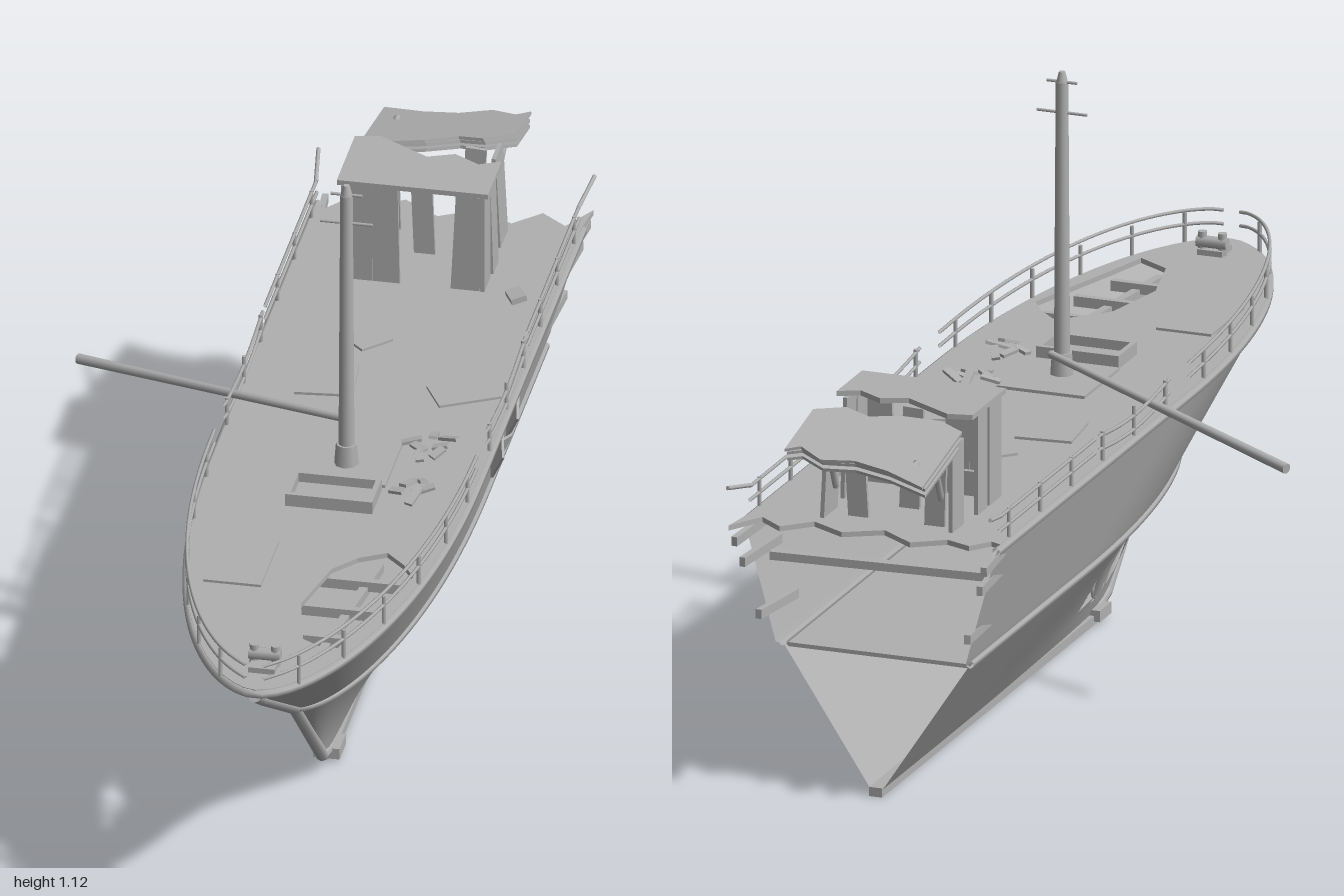
import * as THREE from 'three';

const grey = new THREE.MeshStandardMaterial({ color: 0xb0b0b0, side: THREE.DoubleSide });
grey.name = 'weatheredGrey';

// Piecewise linear lookup in a list of [key, value]
function lerpTable(table, k) {
  if (k <= table[0][0]) return table[0][1];
  for (let i = 1; i < table.length; i++) {
    const [a, va] = table[i - 1], [b, vb] = table[i];
    if (k <= b) return va + (vb - va) * (k - a) / (b - a);
  }
  return table[table.length - 1][1];
}
const stemZ = y => lerpTable([[0.01, 0.25], [0.035, 0.34], [0.28, 0.6], [0.47, 0.91], [0.52, 0.985]], y);
const fullWidth = y => lerpTable([[0.01, 0.01], [0.28, 0.187], [0.52, 0.252]], y);
function halfWidth(y, z) {
  const t = Math.min(1, Math.max(0, (stemZ(y) - z) / 0.885));
  return fullWidth(y) * Math.pow(1 - Math.pow(1 - t, 2.2), 0.58);
}
function inside(poly, x, y) {
  let hit = false;
  for (let i = 0, j = poly.length - 1; i < poly.length; j = i++) {
    const [xi, yi] = poly[i], [xj, yj] = poly[j];
    if ((yi > y) !== (yj > y) && x < (xj - xi) * (y - yi) / (yj - yi) + xi) hit = !hit;
  }
  return hit;
}
// Breaches: bow ones in (x, y), the side one in (z, y)
const bowHoles = [
  [[-0.15, 0.45], [-0.12, 0.455], [-0.05, 0.45], [-0.04, 0.4], [-0.07, 0.34], [-0.16, 0.33], [-0.14, 0.39]],
  [[-0.13, 0.23], [-0.07, 0.22], [-0.02, 0.12], [-0.02, 0.06], [-0.05, 0.08], [-0.1, 0.16]]];
const sideHole = [[-0.09, 0.49], [-0.24, 0.49], [-0.2, 0.44], [-0.15, 0.42], [-0.12, 0.45]];

// One plated side of the hull, s = +1 or -1
function hullSide(s) {
  const rows = 44, cols = 110, pos = [], idx = [];
  for (let r = 0; r <= rows; r++) {
    const y = 0.012 + 0.508 * r / rows, z0 = stemZ(y), z1 = y > 0.28 ? -0.87 : -0.84;
    for (let c = 0; c <= cols; c++) {
      const z = z0 + (z1 - z0) * Math.pow(c / cols, 1.5);
      pos.push(s * halfWidth(y, z), y, z);
    }
  }
  for (let r = 0; r < rows; r++) for (let c = 0; c < cols; c++) {
    const a = r * (cols + 1) + c, b = a + 1, d = a + cols + 1, e = d + 1;
    const m = k => (pos[a * 3 + k] + pos[e * 3 + k]) / 2;
    if (s < 0 ? m(2) > 0.1 && bowHoles.some(h => inside(h, m(0), m(1))) : inside(sideHole, m(2), m(1))) continue;
    if (s > 0) idx.push(a, b, e, a, e, d); else idx.push(a, e, b, a, d, e);
  }
  const g = new THREE.BufferGeometry();
  g.setAttribute('position', new THREE.Float32BufferAttribute(pos, 3));
  g.setIndex(idx);
  g.computeVertexNormals();
  return g;
}

export function createModel() {
  const model = new THREE.Group();
  const ship = new THREE.Group();
  ship.name = 'wreck';
  ship.position.x = 0.15; // the fallen boom shifts the hull off centre
  model.add(ship);

  function add(name, geo, p = [0, 0, 0], rot = [0, 0, 0]) {
    const m = new THREE.Mesh(geo, grey);
    m.name = name;
    m.position.set(...p);
    m.rotation.set(...rot);
    ship.add(m);
    return m;
  }
  const box = (name, size, p, rot) => add(name, new THREE.BoxGeometry(...size), p, rot);
  function rod(name, a, b, r0, r1 = r0, sides = 8) {
    const A = new THREE.Vector3(...a), d = new THREE.Vector3(...b).sub(A);
    const m = add(name, new THREE.CylinderGeometry(r1, r0, d.length(), sides));
    m.position.copy(A).addScaledVector(d, 0.5);
    m.quaternion.setFromUnitVectors(new THREE.Vector3(0, 1, 0), d.normalize());
  }
  // Flat slab from an outline in (x, z); its top is at y
  function slab(name, pts, y, thick, holes = [], rot) {
    const shape = new THREE.Shape(pts.map(p => new THREE.Vector2(...p)));
    holes.forEach(h => shape.holes.push(new THREE.Path(h.map(p => new THREE.Vector2(...p)))));
    const g = new THREE.ExtrudeGeometry(shape, { depth: thick, bevelEnabled: false }).rotateX(Math.PI / 2);
    return add(name, g, [0, y, 0], rot);
  }
  function tube(name, pts, r) {
    const curve = new THREE.CatmullRomCurve3(pts.map(p => new THREE.Vector3(...p)));
    add(name, new THREE.TubeGeometry(curve, pts.length * 3, r, 6), [0, 0, 0]);
  }
  // Points round the hull at height y, stern to bow to stern
  function outline(y, stern, n = 24) {
    const pts = [], z0 = stemZ(y);
    for (let i = -n; i <= n; i++) {
      const z = z0 + (stern - z0) * Math.pow(Math.abs(i) / n, 1.8);
      pts.push([Math.sign(i) * halfWidth(y, z), z]);
    }
    return pts;
  }

  // Hull plating, keel and rubbing strakes
  add('hullRight', hullSide(-1));
  add('hullLeft', hullSide(1));
  box('keel', [0.026, 0.018, 1.1], [0, 0.009, -0.295]);
  const stem = [[0.25, 0.012], [0.34, 0.036], [0.6, 0.28], [0.91, 0.47], [0.975, 0.512]];
  for (let i = 1; i < stem.length; i++)
    rod('stemBar', [0, stem[i - 1][1], stem[i - 1][0]], [0, stem[i][1], stem[i][0]], 0.012);
  box('keelShoe', [0.05, 0.022, 0.06], [0, 0.018, 0.27]);
  tube('upperStrake', outline(0.515, -0.87).map(([x, z]) => [x, 0.517, z]), 0.009);
  tube('lowerStrake', outline(0.28, -0.84).map(([x, z]) => [x, 0.28, z]), 0.008);

  // Main deck with its hole and torn stern edge, and the deck below
  const tear = [[0.26, -0.93], [0.22, -0.86], [0.17, -0.9], [0.12, -0.85], [0.05, -0.89],
    [-0.02, -0.85], [-0.09, -0.9], [-0.15, -0.86], [-0.2, -0.88], [-0.23, -0.84]];
  const deckHole = [[0.05, 0.5], [0.09, 0.45], [0.14, 0.42], [0.18, 0.46], [0.205, 0.5],
    [0.17, 0.62], [0.14, 0.72], [0.115, 0.81], [0.05, 0.77], [0.02, 0.64]];
  slab('mainDeck', [...outline(0.515, -0.85), ...tear], 0.527, 0.01, [deckHole]);
  slab('lowerDeck', outline(0.275, -0.83), 0.277, 0.008);
  for (const z of [0.5, 0.61, 0.72])
    box('deckBeam', [halfWidth(0.48, z) * 1.85, 0.02, 0.014], [0, 0.5, z]);
  box('deckGirder', [0.016, 0.018, 0.4], [0.1, 0.49, 0.61], [0, -0.12, 0]);

  // Hull frames seen through the breaches
  for (const s of [-1, 1]) for (const z of [0.28, 0.4, 0.52, 0.64]) {
    const pts = [];
    for (let y = 0.04; y < 0.52; y += 0.06)
      if (stemZ(y) > z + 0.03) pts.push([s * (halfWidth(y, z) - 0.012), y, z]);
    if (pts.length > 1) tube('hullFrame', pts, 0.007);
  }

  // Bent plates round the side breach
  [[-0.1, 0.46, 0.07, 0.5], [-0.17, 0.43, 0.06, -0.3], [-0.24, 0.465, 0.06, 0.4]].forEach(([z, y, h, a]) =>
    box('bentPlate', [0.005, h, 0.055], [halfWidth(y, z) + 0.008, y, z], [a, a * 0.4, -0.4]));

  // Guard rails with broken stretches
  const railPoint = (s, z, y) => [s * (halfWidth(0.52, z) - 0.003), y, z];
  for (const s of [-1, 1]) {
    for (const [from, to, lift] of [[0.98, 0.12, 0.012], [0.02, -0.34, -0.015], [-0.36, -0.85, 0]]) {
      for (const y of [0.553, 0.58]) {
        const pts = [];
        for (let i = 0; i <= 14; i++) {
          const u = i / 14;
          pts.push(railPoint(s, from + (to - from) * Math.pow(u, from > 0.9 ? 1.8 : 1), y + lift * Math.sin(Math.PI * u)));
        }
        tube('guardRail', pts, 0.0035);
      }
    }
    for (const z of [0.93, 0.82, 0.68, 0.52, 0.36, 0.2, 0, -0.16, -0.32, -0.48, -0.64, -0.8])
      rod('railPost', railPoint(s, z, 0.52), railPoint(s, z, 0.584), 0.004, 0.004, 6);
    // Splintered planks at the stern
    [[0.5, -0.93], [0.455, -0.92], [0.35, -0.91]].forEach(([y, z], i) =>
      box('brokenPlank', [0.012, 0.018, 0.16], [s * (fullWidth(y) - 0.004), y, z + 0.08], [0.04 * (i - 1), s * -0.08, 0]));
    rod('bentRailEnd', railPoint(s, -0.84, 0.58), [s * 0.262, 0.6, -0.93], 0.004);
  }
  box('sternBeam', [0.42, 0.016, 0.02], [0, 0.45, -0.83], [0, 0.06, 0]);

  // Mast, crossbars and the fallen boom
  rod('mast', [0, 0.52, 0.11], [0, 1.105, 0.11], 0.0155, 0.012, 12);
  rod('mastCap', [0, 1.105, 0.11], [0, 1.125, 0.11], 0.011, 0.006, 12);
  rod('mastCollar', [0, 0.525, 0.11], [0, 0.575, 0.11], 0.024, 0.02, 8);
  rod('crossbar', [-0.05, 1.045, 0.11], [0.05, 1.045, 0.11], 0.003);
  rod('topCrossbar', [-0.03, 1.105, 0.11], [0.03, 1.105, 0.11], 0.003);
  rod('boom', [0, 0.59, 0.05], [-0.573, 0.515, -0.21], 0.007, 0.01, 10);

  // Hatch coaming, deck plates and windlass
  for (const s of [-1, 1]) {
    box('hatchSide', [0.01, 0.028, 0.09], [s * 0.078, 0.538, 0.235]);
    box('hatchEnd', [0.165, 0.028, 0.01], [0, 0.538, 0.235 + s * 0.042]);
    rod('windlassBollard', [s * 0.02, 0.525, 0.88], [s * 0.02, 0.57, 0.88], 0.009);
  }
  box('hatchCover', [0.145, 0.006, 0.075], [0, 0.53, 0.235]);
  box('mastPlate', [0.175, 0.006, 0.18], [0, 0.53, 0.09]);
  rod('windlassDrum', [-0.03, 0.55, 0.88], [0.03, 0.55, 0.88], 0.012);
  box('windlassBase', [0.05, 0.012, 0.05], [0, 0.532, 0.89]);
  [[-0.12, 0.51, 0.11, 0.17, 0], [-0.1, -0.2, 0.11, 0.12, 0.1], [0.16, -0.2, 0.12, 0.08, 0.5], [-0.05, -0.36, 0.07, 0.05, 0.8]]
    .forEach(([x, z, w, d, a]) => box('loosePlate', [w, 0.005, d], [x, 0.53, z], [0, a, 0]));

  // Scattered debris on deck
  for (let i = 0; i < 12; i++) {
    const a = i * 2.4;
    const z = i < 7 ? 0.02 : 0.19, r = 0.02 + 0.004 * (i % 7);
    box('debris', [0.03 + 0.008 * (i % 3), 0.006, 0.016], [0.14 + Math.cos(a) * r, 0.536 + 0.003 * (i % 3), z + Math.sin(a) * r],
      [0.3 * Math.sin(a), a, 0.25 * Math.cos(a)]);
  }
  box('debris', [0.03, 0.012, 0.04], [0.185, 0.535, -0.57], [0, 0.5, 0.2]);

  // Ruined deckhouse: wall remnants [x, z, width, depth, height, lean]
  [[-0.118, -0.59, 0.055, 0.008, 0.2, 0], [-0.066, -0.59, 0.05, 0.008, 0.2, 0.02], [0.09, -0.59, 0.055, 0.008, 0.2, -0.05],
    [-0.146, -0.615, 0.008, 0.06, 0.2, 0], [0.118, -0.615, 0.008, 0.06, 0.2, 0], [-0.146, -0.68, 0.008, 0.05, 0.2, 0],
    [0.118, -0.68, 0.008, 0.05, 0.2, 0.03], [-0.02, -0.71, 0.04, 0.008, 0.2, 0.04],
    [-0.1, -0.79, 0.04, 0.008, 0.18, 0.03], [0.06, -0.79, 0.04, 0.008, 0.19, -0.06], [0.11, -0.79, 0.008, 0.07, 0.19, 0.05],
    [-0.14, -0.79, 0.008, 0.06, 0.17, 0]]
    .forEach(([x, z, w, d, h, lean]) => box('wallRemnant', [w, h, d], [x, 0.525 + h / 2, z], [0, 0, lean]));
  box('houseSill', [0.08, 0.05, 0.01], [-0.09, 0.55, -0.6]);
  slab('frontRoof', [[-0.157, -0.58], [0.13, -0.58], [0.13, -0.71], [0.09, -0.69], [0.04, -0.72], [-0.01, -0.7],
    [-0.06, -0.73], [-0.11, -0.76], [-0.157, -0.75]], 0.738, 0.01);
  // Sagging rear roof with ragged layers beneath
  for (let k = 0; k < 3; k++) {
    const m = slab(k ? 'roofLayer' : 'rearRoof', [[-0.15, 0.1], [-0.1, 0.12], [-0.03, 0.11], [0.03, 0.085], [0.08, 0.1], [0.135, 0.07],
      [0.135, -0.08], [0.11, -0.06], [0.06, -0.09], [0, -0.07], [-0.07, -0.08], [-0.15, -0.11]], 0, 0.006, [], [-0.22, 0, 0.1]);
    m.position.set(0, 0.708 - 0.012 * k, -0.885);
    m.scale.set(1, 1, k ? 0.85 : 1);
  }
  for (const x of [-0.11, 0.1])
    tube('roofStrut', [[x, 0.58, -0.79], [x, 0.64, -0.82], [x, 0.67, -0.86], [x, 0.69, -0.92]], 0.007);
  return model;
}
